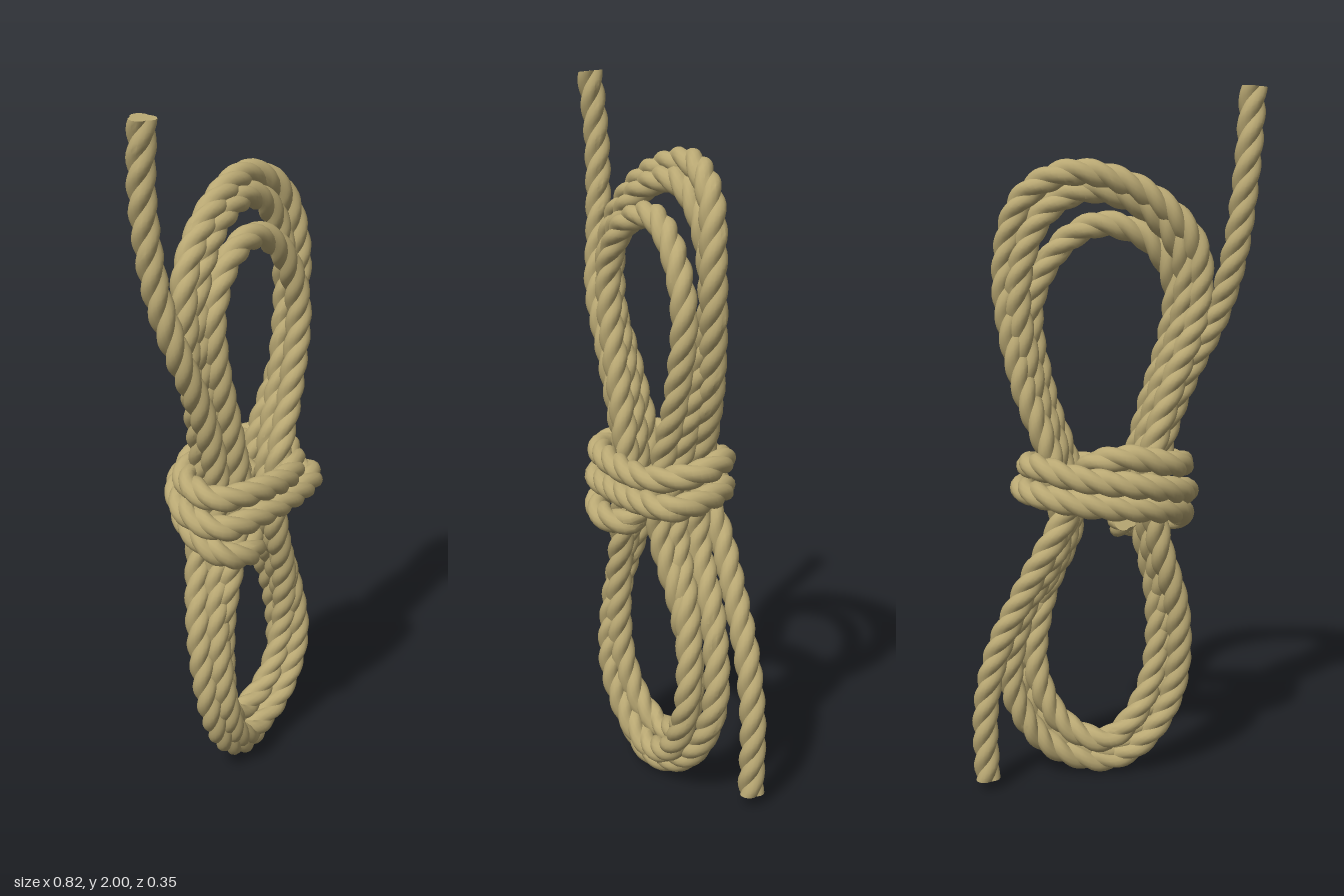
import * as THREE from 'three';
import { toCreasedNormals } from 'three/addons/utils/BufferGeometryUtils.js';

const PITCH = 0.21;      // length of one full turn of the lay
const STRANDS = 3;
const PER_STRAND = 6;    // facets on each strand

// Outline of the laid rope: three overlapping round strands
function ropeOutline() {
  const offset = 0.0135, radius = 0.0247, out = [];
  for (let s = 0; s < STRANDS; s++) {
    for (let k = 0; k < PER_STRAND; k++) {
      const phi = (k / PER_STRAND - 0.5) * (2 * Math.PI / STRANDS);
      const r = offset * Math.cos(phi) + Math.sqrt(radius ** 2 - (offset * Math.sin(phi)) ** 2);
      out.push([phi + s * 2 * Math.PI / STRANDS, r]);
    }
  }
  return out;
}

// Sweep the outline along a path while turning it
function ropeGeometry(points, closed) {
  const curve = new THREE.CatmullRomCurve3(points.map(p => new THREE.Vector3(...p)), closed, 'centripetal');
  curve.arcLengthDivisions = 800;
  const length = curve.getLength();
  const rings = Math.ceil(length / 0.014);
  const frames = curve.computeFrenetFrames(rings, closed);
  let turns = length / PITCH;
  if (closed) turns = Math.round(turns * STRANDS) / STRANDS;
  const outline = ropeOutline(), sides = outline.length;
  const positions = [], index = [];
  for (let i = 0; i <= rings; i++) {
    const centre = curve.getPointAt(i / rings);
    const twist = (i / rings) * turns * Math.PI * 2;
    for (const [angle, r] of outline) {
      const p = centre.clone()
        .addScaledVector(frames.normals[i], r * Math.cos(angle + twist))
        .addScaledVector(frames.binormals[i], r * Math.sin(angle + twist));
      positions.push(p.x, p.y, p.z);
    }
  }
  for (let i = 0; i < rings; i++) {
    for (let j = 0; j < sides; j++) {
      const a = i * sides + j, b = i * sides + (j + 1) % sides;
      index.push(a, b, a + sides, b, b + sides, a + sides);
    }
  }
  // Cut ends
  if (!closed) {
    const last = rings * sides, c0 = positions.length / 3;
    for (const t of [0, 1]) positions.push(...curve.getPointAt(t).toArray());
    for (let j = 0; j < sides; j++) {
      const k = (j + 1) % sides;
      index.push(c0, k, j, c0 + 1, last + j, last + k);
    }
  }
  const geometry = new THREE.BufferGeometry();
  geometry.setAttribute('position', new THREE.Float32BufferAttribute(positions, 3));
  geometry.setIndex(index);
  return toCreasedNormals(geometry, 0.6);
}

export function createModel() {
  const group = new THREE.Group();
  const hemp = new THREE.MeshStandardMaterial({ color: 0xb9a873 });
  hemp.name = 'hemp';
  const addRope = (name, points, closed = false) => {
    const mesh = new THREE.Mesh(ropeGeometry(points, closed), hemp);
    mesh.name = name;
    group.add(mesh);
  };

  // Coil: three nested loops pinched at the waist; each point is x, y, depth station
  const loop = [
    [0.03, 0.04, 0], [0.2, 0.1, 0.5], [0.3, 0.28, 1], [0.265, 0.52, 1.5], [0.155, 0.75, 2], [0.17, 0.95, 2],
    [0.26, 1.2, 2.5], [0.305, 1.5, 3], [0.25, 1.7, 3.5], [0.12, 1.772, 4], [-0.08, 1.72, 4.4], [-0.22, 1.58, 4.8],
    [-0.235, 1.42, 5], [-0.15, 1.15, 5.6], [-0.1, 0.95, 6], [-0.125, 0.75, 6], [-0.185, 0.5, 6.6],
    [-0.17, 0.25, 7], [-0.08, 0.095, 7.5],
  ];
  // Depth stations: bottom, lower +x, waist +x, upper +x, top, upper -x, waist -x, lower -x
  const coils = [
    { name: 'outerCoil', width: 1, up: 1, down: 1, lean: 0,
      depth: [0.035, -0.005, -0.04, 0.015, -0.03, 0.02, -0.03, 0.045] },
    { name: 'middleCoil', width: 0.85, up: 0.945, down: 0.965, lean: 0.03,
      depth: [0.045, 0.06, 0.02, -0.005, -0.005, 0.03, 0.02, 0.075] },
    { name: 'innerCoil', width: 0.73, up: 0.835, down: 0.91, lean: 0.06,
      depth: [0, 0.025, 0.065, 0.06, 0.045, 0.06, 0.065, 0.05] },
  ];
  for (const c of coils) {
    addRope(c.name, loop.map(([x, y, station]) => {
      const d = y - 0.9, s = Math.floor(station);
      const shift = c.lean * Math.max(0, d - 0.6) / 0.27;
      return [0.045 + (x - 0.045) * c.width - shift, 0.9 + d * (d > 0 ? c.up : c.down),
        THREE.MathUtils.lerp(c.depth[s], c.depth[(s + 1) % 8], station - s)];
    }), true);
  }

  // Free ends
  addRope('upperTail', [
    [-0.372, 1.997, 0], [-0.36, 1.8, -0.015], [-0.33, 1.55, 0], [-0.285, 1.38, 0.03],
    [-0.2, 1.2, 0.04], [-0.14, 1.03, 0.04], [-0.11, 0.85, 0.03],
  ]);
  addRope('lowerTail', [
    [0.37, 0.032, -0.085], [0.37, 0.25, -0.087], [0.335, 0.42, -0.09], [0.255, 0.6, -0.095],
    [0.16, 0.78, -0.095], [0.08, 0.92, -0.05],
  ]);

  // Binding wound round the waist
  addRope('binding', [
    [-0.03, 0.79, 0.02], [-0.015, 0.755, 0.08], [-0.1, 0.755, 0.12], [-0.18, 0.78, 0.09], [-0.185, 0.82, 0],
    [-0.1, 0.85, -0.1], [0.08, 0.87, -0.13], [0.2, 0.885, -0.09], [0.26, 0.88, 0.01], [0.255, 0.87, 0.1],
    [0.17, 0.865, 0.13], [-0.03, 0.86, 0.13], [-0.185, 0.86, 0.09], [-0.195, 0.885, -0.02], [-0.09, 0.92, -0.12],
    [0.1, 0.945, -0.13], [0.21, 0.965, -0.08], [0.24, 0.95, 0.02], [0.14, 0.925, 0.11], [-0.06, 0.94, 0.13],
    [-0.185, 0.945, 0.07], [-0.165, 0.965, -0.04], [-0.04, 0.995, -0.09], [0.06, 0.97, -0.07], [0.1, 0.9, -0.02],
  ]);
  return group;
}
